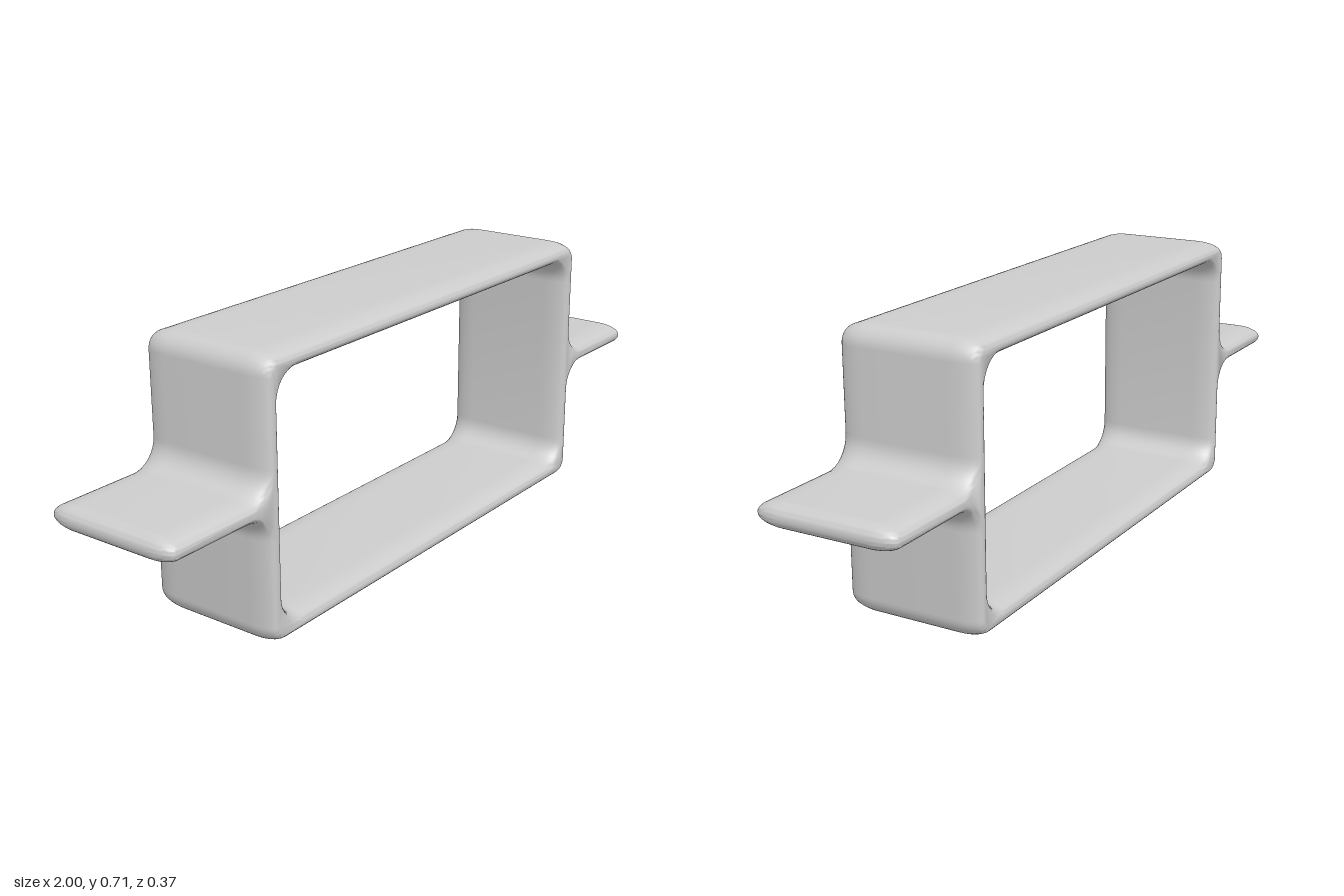
import * as THREE from 'three';
import { toCreasedNormals } from 'three/addons/utils/BufferGeometryUtils.js';

// Rounds the right-angled corners [x, y, rx, ry] of an outline.
function roundedOutline(corners, steps = 8) {
  const points = [];
  corners.forEach(([x, y, rx, ry = rx], i) => {
    const n = corners.length;
    const prev = corners[(i + n - 1) % n];
    const next = corners[(i + 1) % n];
    const ux = Math.sign(prev[0] - x) * rx, uy = Math.sign(prev[1] - y) * ry;
    const vx = Math.sign(next[0] - x) * rx, vy = Math.sign(next[1] - y) * ry;
    for (let s = 0; s <= steps; s++) {
      const a = (s / steps) * Math.PI / 2;
      const c = 1 - Math.cos(a), d = 1 - Math.sin(a);
      points.push(new THREE.Vector2(x + ux * d + vx * c, y + uy * d + vy * c));
    }
  });
  return points;
}

export function createModel() {
  const group = new THREE.Group();
  group.name = 'frameWithSideTabs';
  const grey = new THREE.MeshStandardMaterial({ color: 0xcccccc });
  grey.name = 'lightGrey';

  const top = 0.715, mid = 0.36, side = 0.682, tab = 0.03;

  // Right half from bottom to top, then mirrored for the other half
  const half = [
    [side, 0, 0.05],
    [side, mid - tab, 0.06],
    [1, mid - tab, 0.036, 0.028],
    [1, mid + tab, 0.036, 0.028],
    [side, mid + tab, 0.06],
    [side, top, 0.05],
  ];
  const mirrored = half.map(([x, ...rest]) => [-x, ...rest]).reverse();
  const shape = new THREE.Shape(roundedOutline([...half, ...mirrored]));

  // Rectangular opening
  const ix = 0.627, low = 0.058, high = 0.658, r = 0.06;
  shape.holes.push(new THREE.Path(roundedOutline([
    [-ix, low, r], [-ix, high, r], [ix, high, r], [ix, low, r],
  ])));

  // Band with soft, elliptically rounded front and back rims
  const depth = 0.374, rim = 0.07;
  const geometry = new THREE.ExtrudeGeometry(shape, {
    depth: depth - 2 * rim,
    bevelEnabled: true,
    bevelThickness: rim,
    bevelSize: 0.024,
    bevelOffset: -0.024,
    bevelSegments: 8,
  });
  geometry.translate(0, 0, rim - depth / 2);

  const frame = new THREE.Mesh(toCreasedNormals(geometry, 0.9), grey);
  frame.name = 'frameAndTabs';
  group.add(frame);
  return group;
}
